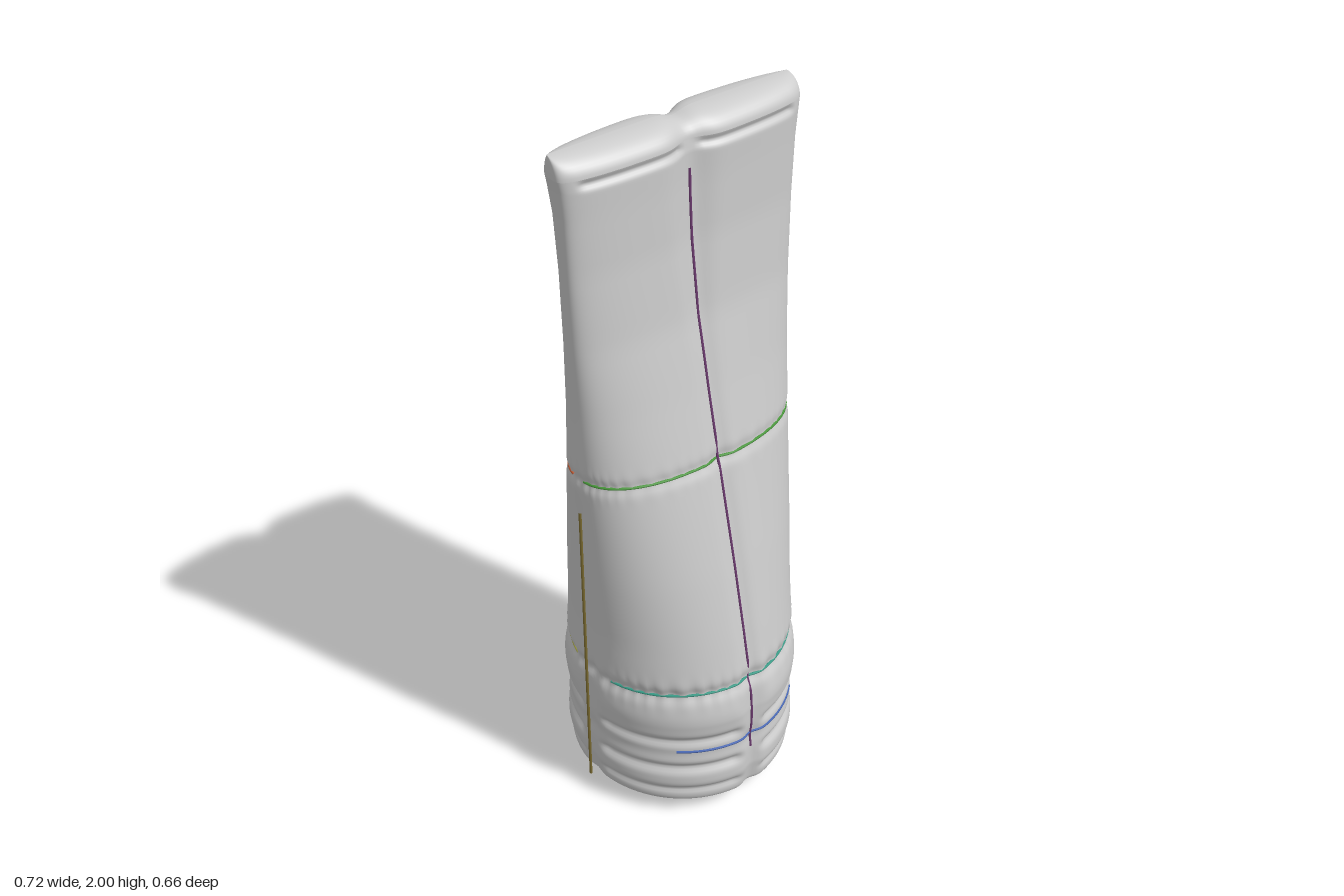
import * as THREE from 'three';

// Body profile: height, half width, front depth, back depth, squareness of section
const PROFILE = [
  [0.035, 0.285, 0.295, 0.295, 2], [0.06, 0.31, 0.318, 0.318, 2], [0.13, 0.32, 0.328, 0.328, 2],
  [0.35, 0.32, 0.325, 0.325, 2], [0.45, 0.32, 0.313, 0.313, 2], [0.6, 0.318, 0.283, 0.283, 2.05],
  [0.8, 0.325, 0.24, 0.24, 2.15], [1.1, 0.333, 0.17, 0.17, 2.3], [1.3, 0.335, 0.125, 0.127, 2.4],
  [1.5, 0.34, 0.085, 0.092, 2.6], [1.7, 0.345, 0.065, 0.08, 2.8], [1.85, 0.35, 0.06, 0.09, 3],
  [1.92, 0.357, 0.06, 0.104, 3], [1.95, 0.362, 0.055, 0.106, 3], [2.1, 0.362, 0.055, 0.106, 3],
];
const TOP = 1.95, RIDGE = -0.03;
const PATCH_Y = 0.29;

const bell = (v, w) => Math.exp(-(v / w) * (v / w));
const ramp = (v, a, b) => THREE.MathUtils.smoothstep(v, a, b);

function profileAt(y) {
  let i = 0;
  while (i < PROFILE.length - 2 && PROFILE[i + 1][0] < y) i++;
  const a = PROFILE[i], b = PROFILE[i + 1];
  const t = THREE.MathUtils.clamp((y - a[0]) / (b[0] - a[0]), 0, 1);
  return a.map((v, k) => v + (b[k] - v) * t);
}

// Point on the padded sleeve at angle th (0 = left side, PI/2 = front)
function surface(th, y, detail = 1) {
  const [, w, front, back, n] = profileAt(y);
  const c = Math.cos(th), s = Math.sin(th);
  const r = 1 / Math.pow(Math.abs(c) ** n + Math.abs(s) ** n, 1 / n);
  let x = w * r * c, z = (s > 0 ? front : back) * r * s;

  // Sewn grooves, padded quarter bands and puckers
  const quarter = ramp(Math.abs(Math.sin(2 * th)), 0.12, 0.4);
  let d = -0.011 * bell(y - 0.45, 0.022) - 0.007 * bell(y - 1.11, 0.018) - 0.006 * bell(y - 0.24, 0.03);
  d -= quarter * 0.014 * (bell(y - 0.285, 0.016) + bell(y - 0.185, 0.016) + 0.7 * bell(y - 0.1, 0.012));
  d += quarter * 0.005 * bell(y - 0.37, 0.04);
  const pucker = bell(y - 0.455, 0.04) + 0.6 * bell(y - 1.11, 0.035);
  d += detail * 0.003 * pucker * Math.sin(th * 46 + 2 * Math.sin(th * 7));
  if (y < 1.1) d -= 0.007 * bell(z, 0.025) * ramp(1.1 - y, 0, 0.15);

  // Round hollow with a raised rim low on the back
  const dist = Math.hypot(x, y - PATCH_Y);
  const patch = s < 0 ? 1 - ramp(dist, 0.1, 0.14) : 0;
  d *= 1 - patch;
  if (s < 0) d += 0.008 * bell(dist - 0.09, 0.018) - 0.035 * bell(dist - 0.05, 0.025) - 0.012 * bell(dist, 0.04);
  const len = Math.hypot(x, z);
  x += d * x / len;
  z += d * z / len;

  // Centre seam pinch, growing deeper towards the top
  const up = ramp(y, 1.3, 1.95);
  const depth = 0.012 + (s > 0 ? 0.013 : 0.026) * up;
  z -= Math.sign(s) * depth * bell(x, 0.025 + 0.025 * up) * (1 - patch);

  // Folded hem below the front top edge
  if (s > 0) z -= 0.009 * bell(y - 1.935, 0.01) * ramp(Math.abs(x), 0.015, 0.04) * (1 - ramp(Math.abs(x), 0.3, 0.33));
  return new THREE.Vector3(x, y, z);
}

// Bottom: four pillow lobes divided by a cross
function bottomPoint(th, s) {
  const p = surface(th, 0.035);
  p.x *= s;
  p.z *= s;
  const lobe = (1 - bell(p.x, 0.06)) * (1 - bell(p.z, 0.06)) * (1 - s ** 7);
  p.y = 0.035 - 0.036 * lobe;
  return p;
}

// Top: closes in a rounded ridge with a dip in the middle
function topPoint(th, a) {
  const p = surface(th, TOP);
  p.z = RIDGE + (p.z - RIDGE) * Math.cos(a);
  p.x *= 1 - 0.02 * (1 - Math.cos(a));
  p.y = TOP + 0.05 * Math.sin(a) - 0.012 * Math.sin(a) * bell(p.x, 0.03);
  return p;
}

function sleeveGeometry() {
  const N = 180, rows = [];
  for (let i = 0; i <= 22; i++) rows.push(th => bottomPoint(th, i / 22));
  for (let y = 0.042; y < 0.56; y += 0.0075) rows.push(th => surface(th, y));
  for (let y = 0.57; y < 1.04; y += 0.03) rows.push(th => surface(th, y));
  for (let y = 1.04; y < 1.18; y += 0.0075) rows.push(th => surface(th, y));
  for (let y = 1.19; y < 1.89; y += 0.03) rows.push(th => surface(th, y));
  for (let y = 1.895; y < TOP; y += 0.005) rows.push(th => surface(th, y));
  for (let i = 0; i <= 10; i++) rows.push(th => topPoint(th, i / 10 * Math.PI / 2));

  const pos = [], idx = [];
  rows.forEach((row, i) => {
    for (let j = 0; j < N; j++) {
      pos.push(...row(j / N * Math.PI * 2).toArray());
      if (i === rows.length - 1) continue;
      const a = i * N + j, b = i * N + (j + 1) % N;
      idx.push(a, a + N, b + N, a, b + N, b);
    }
  });
  const g = new THREE.BufferGeometry();
  g.setAttribute('position', new THREE.Float32BufferAttribute(pos, 3));
  g.setIndex(idx);
  g.computeVertexNormals();
  return g;
}

// Thin sewing thread through a list of points
function thread(name, color, points, closed = false) {
  const curve = new THREE.CatmullRomCurve3(points, closed);
  const mesh = new THREE.Mesh(
    new THREE.TubeGeometry(curve, points.length * 3, 0.004, 6, closed),
    new THREE.MeshStandardMaterial({ color }));
  mesh.name = name;
  return mesh;
}

const steps = (n, f) => Array.from({ length: n + 1 }, (_, i) => f(i / n));
const vertical = (th, y0, y1) => steps(40, t => surface(th, y0 + (y1 - y0) * t, 0));
const across = (y, a0, a1) => steps(40, t => surface(a0 + (a1 - a0) * t, y, 0));

export function createModel() {
  const group = new THREE.Group();
  group.name = 'paddedSleeve';
  const body = new THREE.Mesh(sleeveGeometry(),
    new THREE.MeshStandardMaterial({ color: 0xcccccc, side: THREE.DoubleSide }));
  body.name = 'sleeveBody';
  group.add(body);

  const P = Math.PI;
  // Lengthwise seams
  group.add(thread('frontSeam', 0x6b3a6e, vertical(P / 2, 0.2, 1.88)));
  group.add(thread('backSeam', 0x3f9a90, vertical(-P / 2, 0.46, 1.88)));
  const side = (x, y1) => [0.05, y1 / 2, y1].map(y => new THREE.Vector3(x, y, 0));
  group.add(thread('leftSeam', 0x5a2a66, side(0.327, 1.05)));
  group.add(thread('rightSeam', 0x7a6a30, side(-0.327, 1.0)));

  // Crosswise seams
  group.add(thread('upperFrontSeam', 0x4a9a3c, across(1.11, 0.12, P - 0.12)));
  group.add(thread('upperBackSeam', 0xc8623c, across(1.11, -0.12, -P + 0.12)));
  group.add(thread('lowerFrontSeam', 0x3a9f8a, across(0.45, 0.25, P - 0.25)));
  group.add(thread('lowerBackSeam', 0xb0b040, across(0.45, -0.25, -P + 0.25)));
  group.add(thread('cuffFrontSeam', 0x4a6ab8, across(0.25, 0.85, P - 0.85)));

  // Rounded triangular thread around the back hollow
  const ring = steps(23, t => {
    const a = t * 2 * P * 23 / 24, r = 0.1 + 0.012 * Math.cos(3 * (a - P / 2));
    const x = r * Math.cos(a), y = PATCH_Y + r * Math.sin(a);
    const p = surface(-Math.acos(x / 0.32), y, 0);
    return p.setZ(p.z - 0.002);
  });
  group.add(thread('backPatchSeam', 0x4a3f94, ring, true));
  return group;
}
